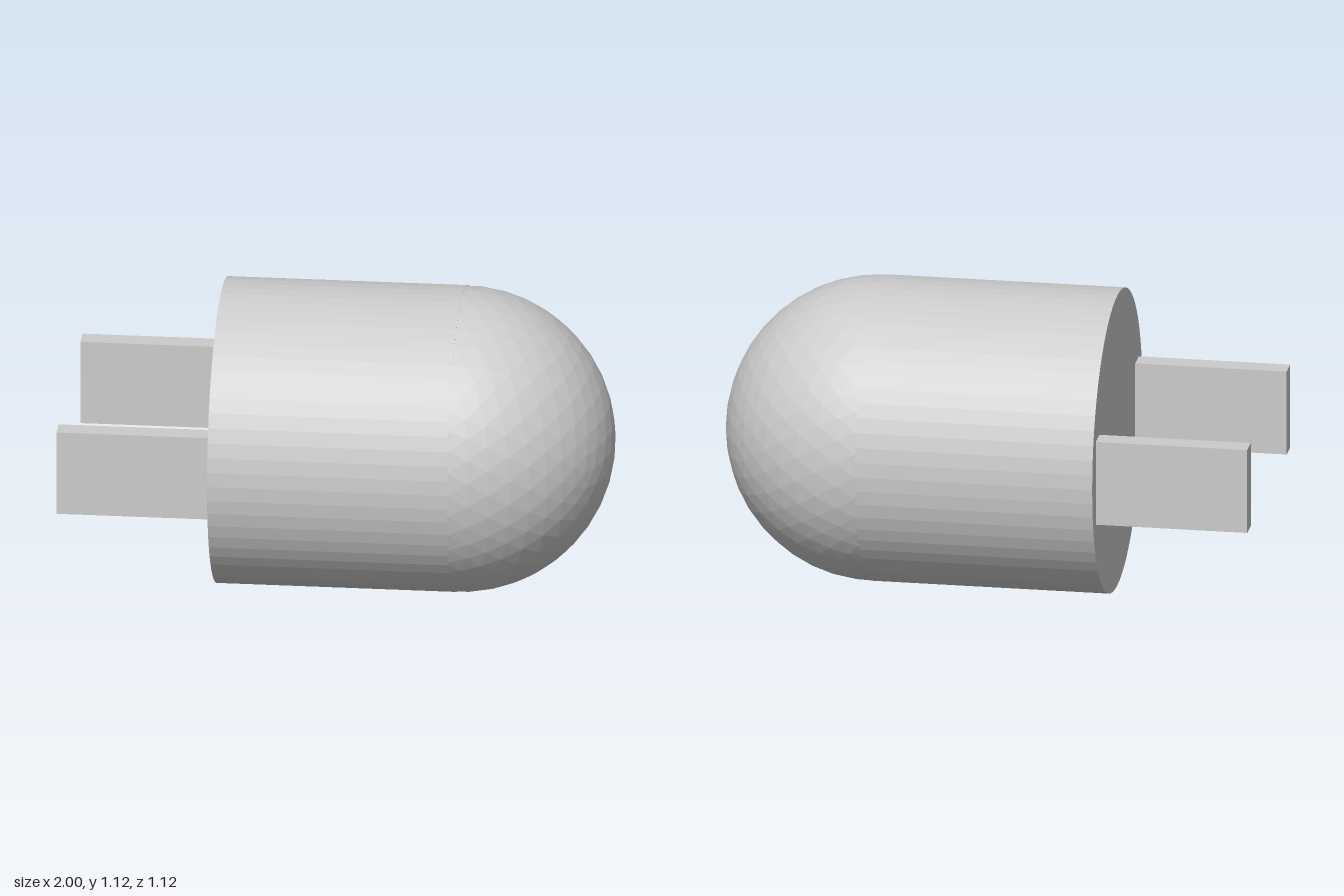
import * as THREE from 'three';

export function createModel() {
  const model = new THREE.Group();
  const material = new THREE.MeshStandardMaterial({ color: 0xcccccc, flatShading: true });
  const radius = 0.56;
  const backX = -0.44, domeX = 0.44;

  const add = (name, geometry, x, y, z) => {
    const mesh = new THREE.Mesh(geometry, material);
    mesh.name = name;
    mesh.position.set(x, y, z);
    model.add(mesh);
    return mesh;
  };

  // Cylindrical housing lying along x
  const housing = new THREE.CylinderGeometry(radius, radius, domeX - backX, 64);
  housing.rotateZ(-Math.PI / 2);
  add('housing', housing, (backX + domeX) / 2, radius, 0);

  // Faceted ball whose exposed half forms the rounded nose
  add('dome', new THREE.IcosahedronGeometry(radius, 7), domeX, radius, 0);

  // Two flat prongs, set slightly into the flat end
  const prongStart = -1, prongEnd = backX + 0.02;
  for (const side of [1, -1]) {
    add(side > 0 ? 'frontProng' : 'backProng',
      new THREE.BoxGeometry(prongEnd - prongStart, 0.32, 0.08),
      (prongStart + prongEnd) / 2, radius, side * 0.44);
  }

  return model;
}
